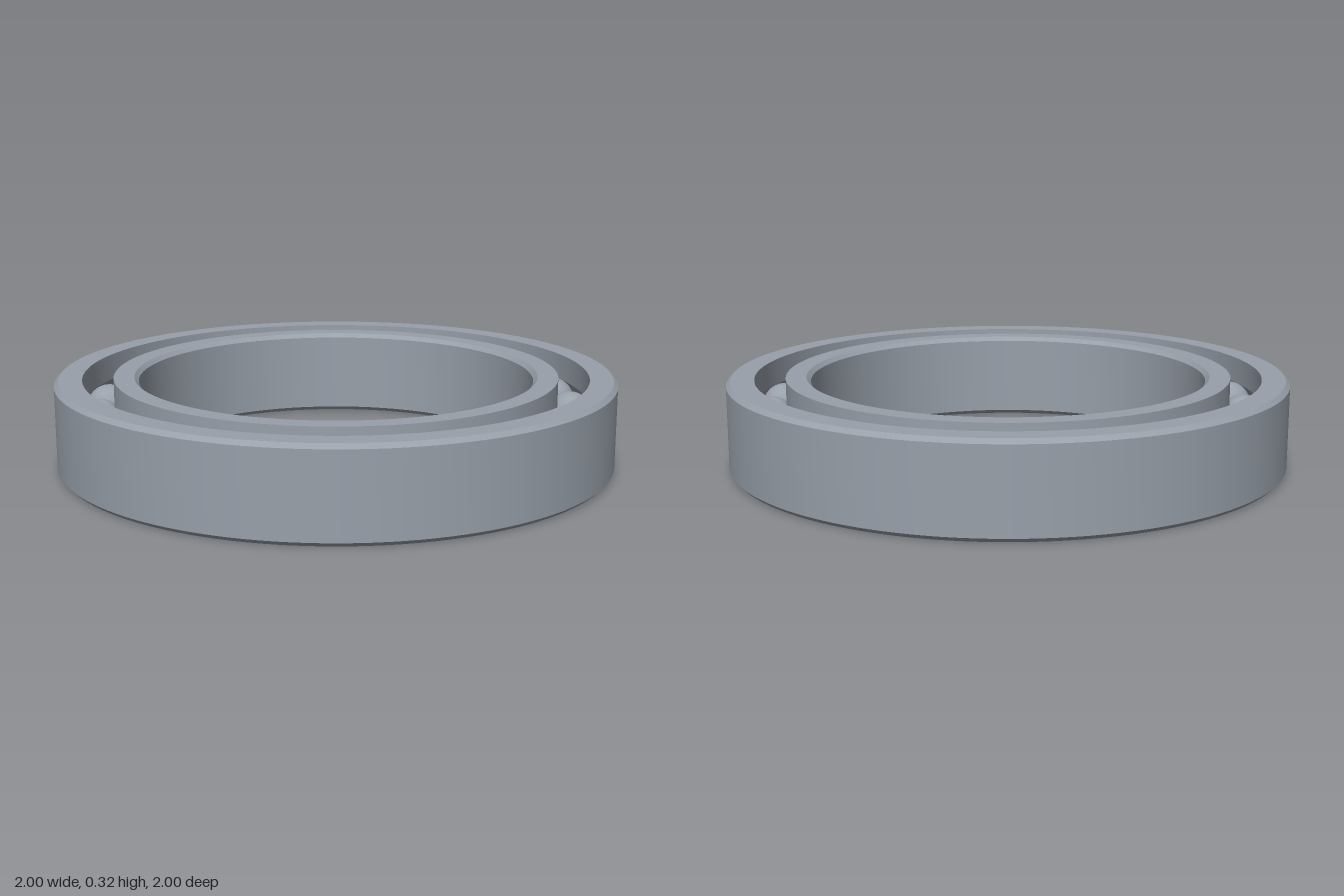
import * as THREE from 'three';
import { toCreasedNormals } from 'three/addons/utils/BufferGeometryUtils.js';

const HEIGHT = 0.32, MID = HEIGHT / 2, CHAMFER = 0.015;
const BORE = 0.705, INNER_SHOULDER = 0.793, OUTER_SHOULDER = 0.902, OUTER = 1;
const PITCH = (INNER_SHOULDER + OUTER_SHOULDER) / 2;
const BALL_RADIUS = 0.083, GROOVE_RADIUS = 0.085, BALLS = 23;

// Circular raceway section, swept from one shoulder edge to the other
function groove(from, to, steps = 14) {
  return Array.from({ length: steps + 1 }, (_, i) => {
    const a = from + (to - from) * i / steps;
    return [PITCH + GROOVE_RADIUS * Math.cos(a), MID + GROOVE_RADIUS * Math.sin(a)];
  });
}

// Closed counter-clockwise section turned around the axis
function ring(name, section, material) {
  const points = [...section, section[0]].map(([r, y]) => new THREE.Vector2(r, y));
  const mesh = new THREE.Mesh(toCreasedNormals(new THREE.LatheGeometry(points, 128), 0.5), material);
  mesh.name = name;
  return mesh;
}

export function createModel() {
  const group = new THREE.Group();
  group.name = 'ballBearing';
  const steel = new THREE.MeshStandardMaterial({ color: 0x98a0aa });
  steel.name = 'steel';

  // Half angle at which the groove meets the shoulders
  const half = Math.acos((OUTER_SHOULDER - PITCH) / GROOVE_RADIUS);

  // Outer race, chamfered on its outer rim
  group.add(ring('outerRace', [
    [OUTER_SHOULDER, 0],
    [OUTER - CHAMFER, 0], [OUTER, CHAMFER],
    [OUTER, HEIGHT - CHAMFER], [OUTER - CHAMFER, HEIGHT],
    [OUTER_SHOULDER, HEIGHT],
    ...groove(half, -half),
  ], steel));

  // Inner race, chamfered on its bore
  group.add(ring('innerRace', [
    [BORE + CHAMFER, 0],
    [INNER_SHOULDER, 0],
    ...groove(Math.PI + half, Math.PI - half),
    [INNER_SHOULDER, HEIGHT],
    [BORE + CHAMFER, HEIGHT], [BORE, HEIGHT - CHAMFER],
    [BORE, CHAMFER],
  ], steel));

  // Evenly spaced balls, one at the front
  const balls = new THREE.Group();
  balls.name = 'balls';
  const ballGeometry = new THREE.SphereGeometry(BALL_RADIUS, 32, 20);
  for (let i = 0; i < BALLS; i++) {
    const a = i / BALLS * Math.PI * 2 - 0.005;
    const ball = new THREE.Mesh(ballGeometry, steel);
    ball.name = 'ball';
    ball.position.set(PITCH * Math.sin(a), MID, PITCH * Math.cos(a));
    balls.add(ball);
  }
  group.add(balls);
  return group;
}
